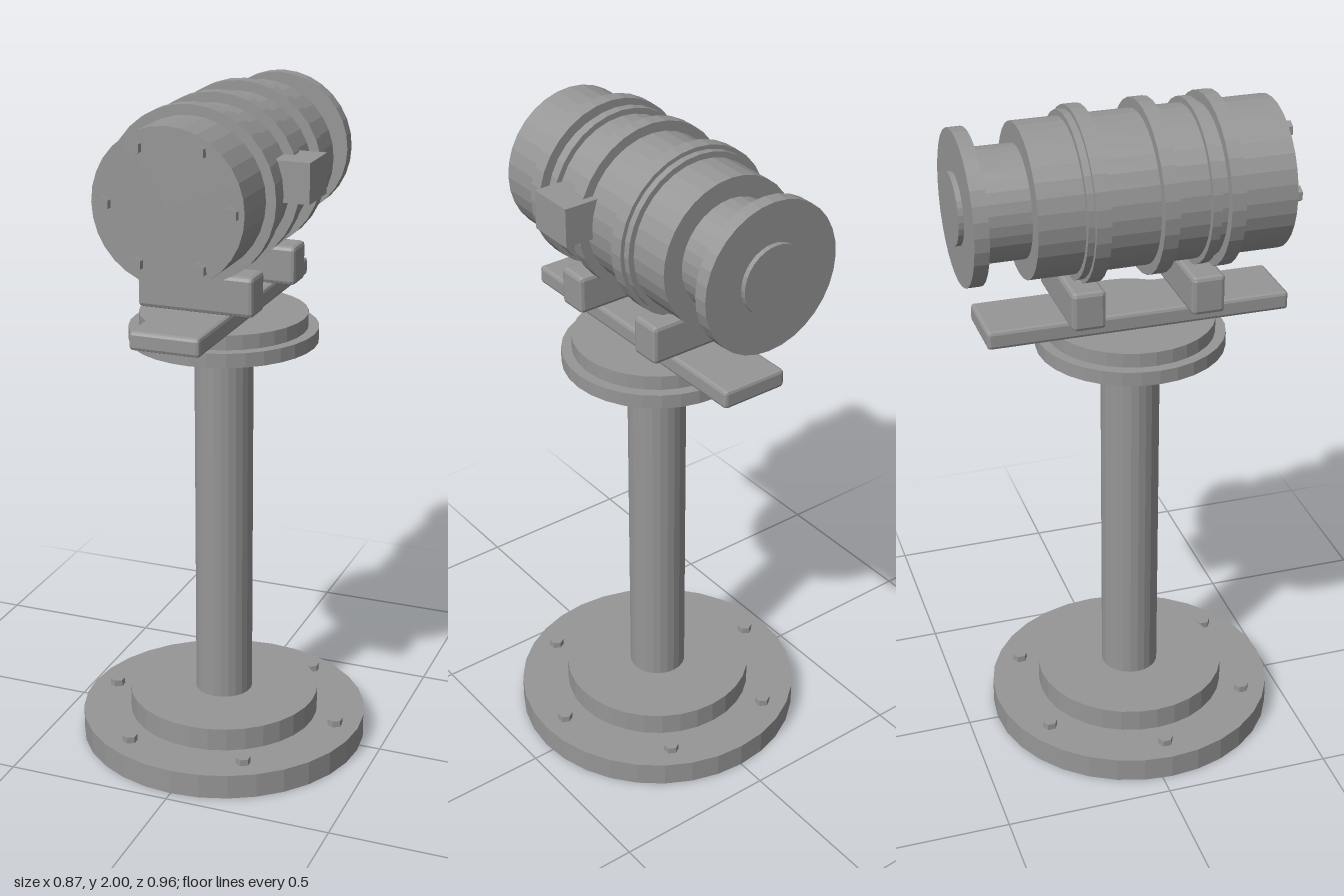
import * as THREE from 'three';
import { RoundedBoxGeometry } from 'three/addons/geometries/RoundedBoxGeometry.js';

const AXIS_Y = 1.755; // height of the barrel axis
const POST_Z = 0.03; // depth of the pedestal axis

export function createModel() {
  const model = new THREE.Group();
  model.name = 'barrelOnPedestal';
  const grey = new THREE.MeshStandardMaterial({ color: 0x969696, flatShading: true });
  grey.name = 'machine grey';

  function add(name, geometry, x, y, z, parent = model) {
    const mesh = new THREE.Mesh(geometry, grey);
    mesh.name = name;
    mesh.position.set(x, y, z);
    parent.add(mesh);
    return mesh;
  }

  // Upright disc on the pedestal axis, from y0 to y1
  function disc(name, r, y0, y1, sides = 32, x = 0, z = POST_Z, parent = model) {
    return add(name, new THREE.CylinderGeometry(r, r, y1 - y0, sides), x, (y0 + y1) / 2, z, parent);
  }

  // Disc lying along z, from z0 to z1
  function drum(name, r, z0, z1, sides = 32, x = 0, y = AXIS_Y, parent = model) {
    const geometry = new THREE.CylinderGeometry(r, r, z1 - z0, sides).rotateX(Math.PI / 2);
    return add(name, geometry, x, y, (z0 + z1) / 2, parent);
  }

  // Pedestal
  disc('basePlate', 0.437, 0, 0.075);
  disc('baseCollar', 0.29, 0.075, 0.145);
  disc('column', 0.087, 0.145, 1.277, 24);
  disc('topFlange', 0.277, 1.275, 1.317);
  disc('turntable', 0.246, 1.317, 1.36);

  // Barrel body, neck and rear flange
  drum('barrel', 0.219, -0.295, 0.443);
  drum('neck', 0.16, -0.428, -0.295);
  drum('rearFlange', 0.219, -0.47, -0.428);
  drum('rearCap', 0.102, -0.485, -0.47);

  // Bands around the barrel: radius, back, front
  const bands = new THREE.Group();
  bands.name = 'bands';
  model.add(bands);
  [
    [0.236, -0.163, -0.143],
    [0.248, -0.143, -0.1],
    [0.248, 0.049, 0.092],
    [0.236, 0.19, 0.217],
    [0.248, 0.24, 0.282],
  ].forEach(([r, z0, z1]) => drum('band', r, z0, z1, 32, 0, AXIS_Y, bands));

  // Hex bolts on the base and on the front of the barrel
  const baseBolts = new THREE.Group();
  baseBolts.name = 'baseBolts';
  const frontBolts = new THREE.Group();
  frontBolts.name = 'frontBolts';
  model.add(baseBolts, frontBolts);
  for (let i = 0; i < 6; i++) {
    const c = Math.cos((i * Math.PI) / 3);
    const s = Math.sin((i * Math.PI) / 3);
    disc('baseBolt', 0.023, 0.07, 0.095, 6, c * 0.364, POST_Z + s * 0.364, baseBolts);
    drum('frontBolt', 0.023, 0.438, 0.463, 6, c * 0.182, AXIS_Y + s * 0.182, frontBolts);
  }

  // Mounting rail and the two saddles that carry the barrel
  add('mountingRail', new RoundedBoxGeometry(0.206, 0.055, 0.896, 1, 0.01), 0, 1.388, POST_Z);
  for (const z of [0.208, -0.142]) {
    add('saddle', new RoundedBoxGeometry(0.344, 0.116, 0.098, 1, 0.012), 0, 1.473, z);
  }

  // Junction box on the left side
  add('junctionBox', new THREE.BoxGeometry(0.115, 0.115, 0.146), 0.247, 1.787, 0.1);

  return model;
}
